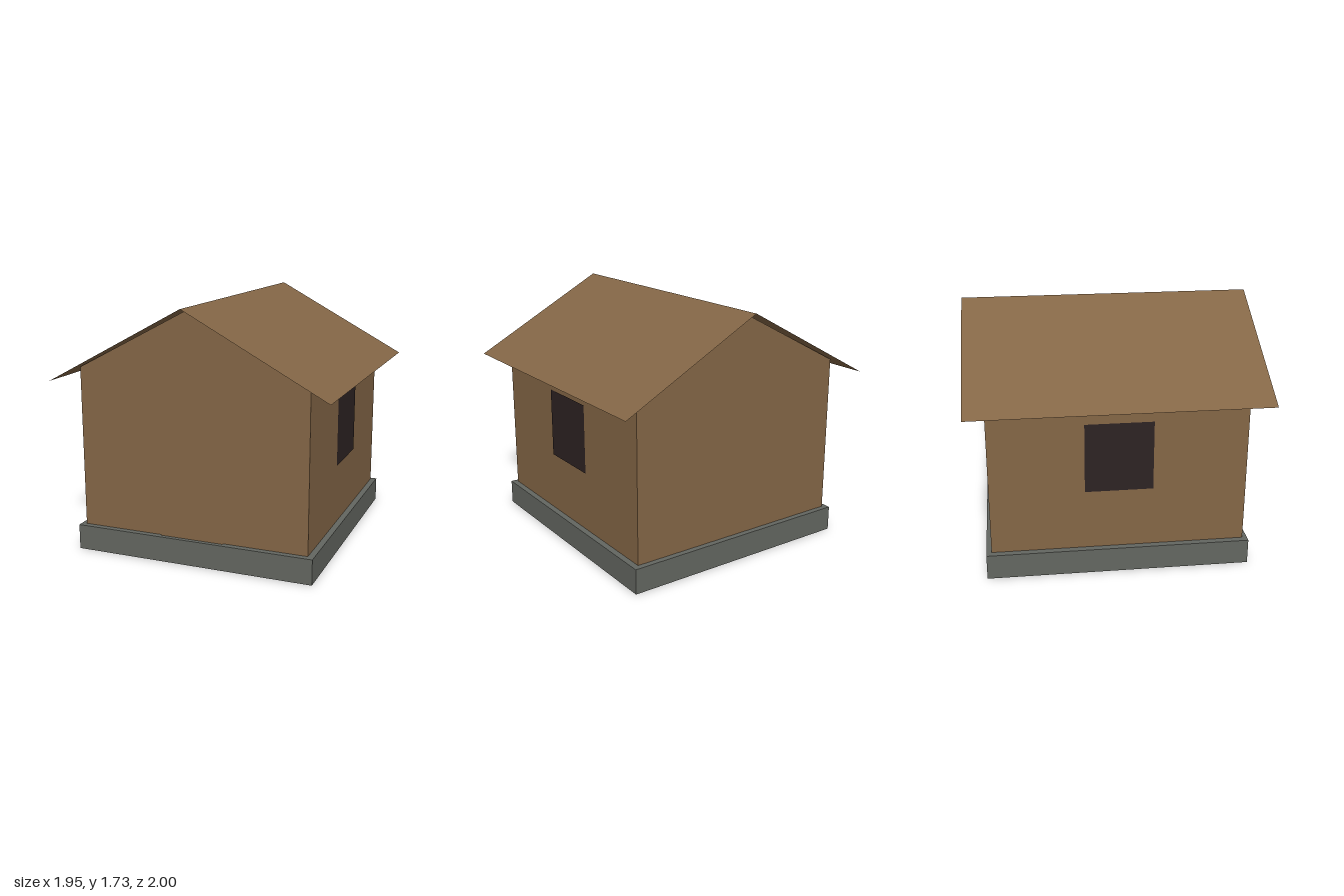
import * as THREE from 'three';

const mat = (name, color) => {
  const m = new THREE.MeshStandardMaterial({ color, side: THREE.DoubleSide });
  m.name = name;
  return m;
};

export function createModel() {
  const group = new THREE.Group();
  group.name = 'hut';
  const wood = mat('brown wood', 0x846646);
  const stone = mat('grey stone', 0x636660);
  const glass = mat('dark window', 0x2d2323);

  const add = (name, geometry, material, x = 0, y = 0, z = 0) => {
    const mesh = new THREE.Mesh(geometry, material);
    mesh.name = name;
    mesh.position.set(x, y, z);
    group.add(mesh);
    return mesh;
  };

  // Foundation: hollow skirt, open below, with a thin top deck
  const W = 0.85, D = 0.9, H = 0.175;
  for (const s of [-1, 1]) {
    add('foundationEnd', new THREE.PlaneGeometry(2 * W, H), stone, 0, H / 2, s * D)
      .rotation.y = s > 0 ? 0 : Math.PI;
    add('foundationSide', new THREE.PlaneGeometry(2 * D, H), stone, s * W, H / 2, 0)
      .rotation.y = s * Math.PI / 2;
  }
  add('foundationTop', new THREE.PlaneGeometry(2 * W, 2 * D), stone, 0, H, 0)
    .rotation.x = -Math.PI / 2;

  // Walls: gabled profile extruded front to back
  const depth = 1.73;
  const profile = new THREE.Shape([
    [-0.81, 0.178], [0.81, 0.178], [0.81, 1.295], [0, 1.72], [-0.81, 1.295],
  ].map(([x, y]) => new THREE.Vector2(x, y)));
  add('walls', new THREE.ExtrudeGeometry(profile, { depth, bevelEnabled: false }),
    wood, 0, 0, -depth / 2);

  // Roof: two thin overhanging sheets meeting at the ridge
  const eaveX = 0.973, eaveY = 1.21, ridgeY = 1.733;
  const slope = Math.hypot(eaveX, ridgeY - eaveY);
  const pitch = Math.atan2(ridgeY - eaveY, eaveX);
  for (const s of [-1, 1]) {
    const sheet = new THREE.PlaneGeometry(slope, 2);
    sheet.rotateX(-Math.PI / 2).rotateZ(-s * pitch);
    add(s > 0 ? 'roofLeft' : 'roofRight', sheet, wood,
      s * eaveX / 2, (eaveY + ridgeY) / 2, 0);

    // Side windows
    add(s > 0 ? 'windowLeft' : 'windowRight', new THREE.PlaneGeometry(0.46, 0.485),
      glass, s * 0.815, 0.842, 0).rotation.y = s * Math.PI / 2;
  }

  // Door: thin panel running down inside the foundation
  add('door', new THREE.PlaneGeometry(0.45, 1.03), wood, 0, 0.57, 0.87);

  return group;
}
